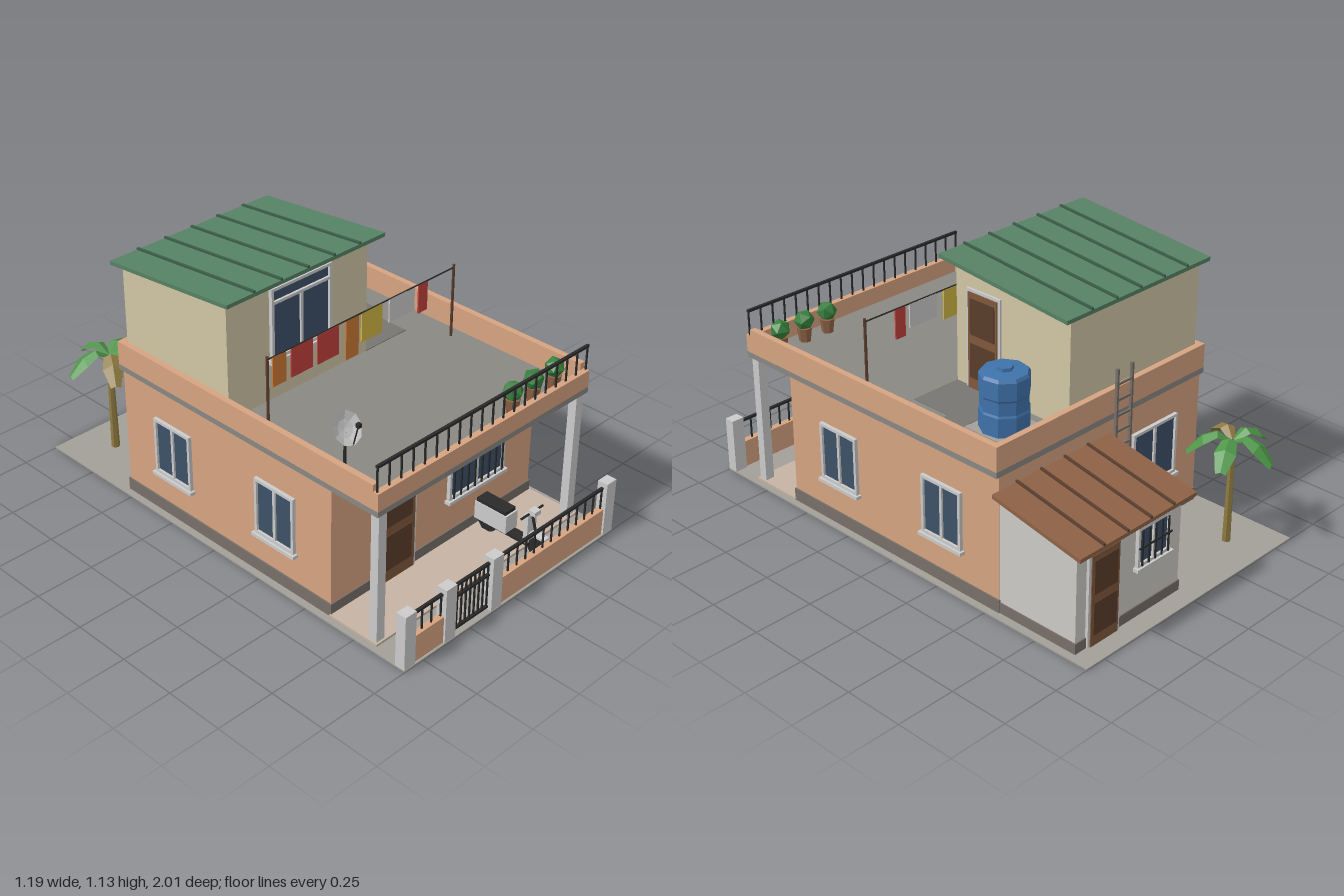
import * as THREE from 'three';

const C = {
  peach: 0xd6a482, cream: 0xd2c7a6, white: 0xd4d4d0, slab: 0x8a8883, ground: 0xa39f98, plinth: 0x776f69,
  porch: 0xc6b4a4, green: 0x568264, darkGreen: 0x3b5e48, rust: 0x8f6347, tank: 0x3f73ab, door: 0x80583c,
  panel: 0x5a3d2a, glass: 0x3d5168, iron: 0x2a2a2a, post: 0x5c4030, leaf: 0x4c9446, bush: 0x37803f,
  dry: 0x8f7a40, red: 0xc2413c, orange: 0xcc7a36, yellow: 0xd2b844, shed: 0xcdcbc6, patch: 0x787672,
};
const mats = {};
const mat = (color) => (mats[color] ??= new THREE.MeshStandardMaterial({ color, flatShading: true, side: THREE.DoubleSide }));

function add(parent, name, geo, color, x = 0, y = 0, z = 0) {
  const m = new THREE.Mesh(geo, mat(color));
  m.name = name;
  m.position.set(x, y, z);
  parent.add(m);
  return m;
}
// Box given by its limits on each axis
const box = (p, name, color, x0, x1, y0, y1, z0, z1) =>
  add(p, name, new THREE.BoxGeometry(x1 - x0, y1 - y0, z1 - z0), color, (x0 + x1) / 2, (y0 + y1) / 2, (z0 + z1) / 2);

function group(parent, name, x = 0, y = 0, z = 0, ry = 0) {
  const g = new THREE.Group();
  g.name = name;
  g.position.set(x, y, z);
  g.rotation.y = ry;
  parent.add(g);
  return g;
}

// Thin bar between two points
function bar(p, name, color, a, b, r = 0.004, sides = 6) {
  const A = new THREE.Vector3(...a), B = new THREE.Vector3(...b), d = B.clone().sub(A);
  const m = add(p, name, new THREE.CylinderGeometry(r, r, d.length(), sides), color);
  m.position.copy(A).add(B).multiplyScalar(0.5);
  m.quaternion.setFromUnitVectors(new THREE.Vector3(0, 1, 0), d.normalize());
  return m;
}

// Window facing local +z, standing on local y = 0
function windowUnit(parent, name, w, h, pos, ry, { transom = 0, bars = 0, sill = true } = {}) {
  const g = group(parent, name, ...pos, ry), f = 0.012, d = 0.014, top = h - transom;
  box(g, 'glass', C.glass, -w / 2 + f, w / 2 - f, f, h - f, -0.004, 0.004);
  for (const s of [-1, 1]) box(g, 'frameSide', C.white, s * (w / 2 - f / 2) - f / 2, s * (w / 2 - f / 2) + f / 2, 0, h, -0.004, d);
  for (const y of transom ? [0, top - f, h - f] : [0, h - f]) box(g, 'frameRail', C.white, -w / 2 + f, w / 2 - f, y, y + f, -0.004, d);
  box(g, 'mullion', C.white, -0.006, 0.006, f, transom ? top - f : h - f, -0.004, d - 0.002);
  if (sill) box(g, 'sill', C.white, -w / 2 - 0.01, w / 2 + 0.01, -0.014, 0, -0.004, 0.024);
  for (let i = 0; i < bars; i++) {
    const x = -w / 2 + (w * (i + 0.5)) / bars;
    box(g, 'bar', C.iron, x - 0.003, x + 0.003, 0.005, top - f, 0.015, 0.021);
  }
  if (bars) box(g, 'crossBar', C.iron, -w / 2, w / 2, top / 2 - 0.003, top / 2 + 0.003, 0.016, 0.022);
}

// Door facing local +z, with an optional glass light above it
function doorUnit(parent, name, w, h, pos, ry, transom = 0) {
  const g = group(parent, name, ...pos, ry), f = 0.012, top = h - transom - f;
  box(g, 'frame', C.white, -w / 2, w / 2, 0, h, -0.006, 0.008);
  box(g, 'leaf', C.door, -w / 2 + f, w / 2 - f, 0, top, 0, 0.012);
  if (transom) box(g, 'transomGlass', C.glass, -w / 2 + f, w / 2 - f, top + f, h - f, 0, 0.011);
  for (const [a, b] of [[0.12, 0.48], [0.57, 0.94]])
    box(g, 'panel', C.panel, -w * 0.36, w * 0.36, top * a, top * b, 0, 0.015);
}

// Walls whose top slopes from the front (z1) to the back (z0)
function slopedWalls(p, name, color, x0, x1, y0, yFront, yBack, z0, z1) {
  const m = box(p, name, color, x0, x1, y0, yFront, z0, z1), a = m.geometry.attributes.position;
  for (let i = 0; i < a.count; i++) if (a.getY(i) > 0 && a.getZ(i) < 0) a.setY(i, a.getY(i) + yBack - yFront);
}

// Sloped metal roof with raised seams
function slopedRoof(p, name, color, seamColor, x0, x1, y1, y0, z0, z1, count) {
  const g = group(p, name), k = (y1 - y0) / (z1 - z0);
  const sheet = (n, c, a, b, t0, t1) => {
    const m = box(g, n, c, a, b, t0, t1, z0, z1), q = m.geometry.attributes.position;
    m.position.y += (y0 + y1) / 2;
    for (let i = 0; i < q.count; i++) q.setY(i, q.getY(i) + k * q.getZ(i));
  };
  sheet('sheet', color, x0, x1, -0.016, 0);
  for (let i = 1; i < count; i++) {
    const x = x0 + ((x1 - x0) * i) / count;
    sheet('seam', seamColor, x - 0.005, x + 0.005, -0.002, 0.008);
  }
}

// Upright railing along x
function railing(p, name, x0, x1, y0, y1, z, step, rails) {
  const g = group(p, name), n = Math.round((x1 - x0) / step);
  for (const y of rails) box(g, 'rail', C.iron, x0, x1, y - 0.005, y + 0.005, z - 0.006, z + 0.006);
  for (let i = 0; i <= n; i++) {
    const x = x0 + 0.004 + ((x1 - x0 - 0.008) * i) / n;
    box(g, 'baluster', C.iron, x - 0.003, x + 0.003, y0, y1, z - 0.003, z + 0.003);
  }
}

function frond(p, color, angle) {
  // stations: distance, half width, height
  const st = [[0.005, 0.012, 0.0], [0.06, 0.03, 0.035], [0.115, 0.042, 0.015], [0.175, 0.02, -0.05]], v = [], idx = [];
  st.forEach(([r, w, y], i) => {
    v.push(r, y - w * 0.45, -w, r, y, 0, r, y - w * 0.45, w);
    if (i) for (const k of [0, 1]) {
      const a = (i - 1) * 3 + k;
      idx.push(a, a + 1, a + 3, a + 1, a + 4, a + 3);
    }
  });
  const geo = new THREE.BufferGeometry();
  geo.setAttribute('position', new THREE.Float32BufferAttribute(v, 3));
  geo.setIndex(idx);
  geo.computeVertexNormals();
  add(p, 'frond', geo, color).rotation.y = angle;
}

export function createModel() {
  const root = new THREE.Group();
  root.name = 'house';
  const h = group(root, 'plot', -0.002);
  box(h, 'groundSlab', C.ground, -0.595, 0.595, 0, 0.006, -1, 1);

  // Ground floor
  box(h, 'groundFloorWalls', C.peach, -0.56, 0.56, 0.004, 0.575, -0.54, 0.6);
  box(h, 'plinth', C.plinth, -0.566, 0.566, 0.004, 0.06, -0.545, 0.605);
  box(h, 'porchFloor', C.porch, -0.57, 0.57, 0.004, 0.016, 0.6, 0.84);
  for (const s of [-1, 1]) {
    box(h, 'porchColumn', C.white, s * 0.542 - 0.02, s * 0.542 + 0.02, 0.01, 0.576, 0.795, 0.832);
    for (const z of [0.315, -0.253]) windowUnit(h, 'sideWindow', 0.205, 0.245, [s * 0.561, 0.19, z], (s * Math.PI) / 2);
  }
  doorUnit(h, 'frontDoor', 0.214, 0.512, [-0.228, 0.016, 0.604], 0, 0.062);
  windowUnit(h, 'frontWindow', 0.32, 0.335, [0.222, 0.212, 0.602], 0, { transom: 0.05, bars: 8 });
  windowUnit(h, 'backWindow', 0.26, 0.26, [-0.287, 0.2, -0.542], Math.PI);

  // Roof terrace
  box(h, 'roofSlab', C.slab, -0.577, 0.577, 0.575, 0.599, -0.545, 0.84);
  for (const s of [-1, 1]) box(h, 'sideParapet', C.peach, s * 0.564 - 0.013, s * 0.564 + 0.013, 0.598, 0.7, -0.545, 0.815);
  box(h, 'frontParapet', C.peach, -0.577, 0.577, 0.598, 0.672, 0.814, 0.84);
  box(h, 'backParapet', C.peach, -0.552, 0.552, 0.598, 0.7, -0.545, -0.519);
  railing(h, 'terraceRailing', -0.572, 0.574, 0.67, 0.78, 0.826, 0.06, [0.776]);
  box(h, 'deckPatch', C.patch, 0.17, 0.4, 0.598, 0.602, -0.225, 0.062);
  box(h, 'deckPatch', C.patch, 0.4, 0.45, 0.598, 0.602, -0.3, -0.12);

  // Upper room
  slopedWalls(h, 'upperRoomWalls', C.cream, -0.55, 0.172, 0.598, 1.1, 1.043, -0.517, 0.06);
  slopedRoof(h, 'upperRoof', C.green, C.darkGreen, -0.593, 0.211, 1.122, 1.057, -0.535, 0.115, 6);
  windowUnit(h, 'upperWindow', 0.31, 0.3, [-0.186, 0.772, 0.062], 0, { transom: 0.055 });
  doorUnit(h, 'upperDoor', 0.175, 0.412, [0.173, 0.6, -0.087], Math.PI / 2);

  // Water tank on its stand
  const tank = group(h, 'waterTank', 0.381, 0, -0.395);
  for (const s of [-1, 1]) box(tank, 'standBlock', C.slab, s * 0.07 - 0.02, s * 0.07 + 0.02, 0.598, 0.636, -0.08, 0.08);
  box(tank, 'standSlab', C.ground, -0.102, 0.102, 0.634, 0.652, -0.102, 0.102);
  const prof = [[0, 0.65], [0.096, 0.65], [0.096, 0.73], [0.092, 0.738], [0.092, 0.79], [0.096, 0.798], [0.096, 0.868], [0.088, 0.88], [0, 0.886]];
  add(tank, 'tankBody', new THREE.LatheGeometry(prof.map((q) => new THREE.Vector2(...q)), 9), C.tank);
  add(tank, 'tankLid', new THREE.CylinderGeometry(0.032, 0.034, 0.018, 6), C.tank, 0, 0.888, 0);

  // Clothesline: left, right, bottom, colour
  const line = group(h, 'clothesline', 0, 0, 0.215);
  for (const x of [-0.498, 0.498]) bar(line, 'linePost', C.post, [x, 0.598, 0], [x, 0.918, 0], 0.006);
  bar(line, 'line', C.iron, [-0.498, 0.905, 0], [0.498, 0.905, 0], 0.003);
  for (const [a, b, y, c] of [[-0.473, -0.407, 0.78, C.orange], [-0.381, -0.272, 0.782, C.red], [-0.247, -0.138, 0.78, C.red],
    [-0.1, -0.033, 0.736, C.orange], [-0.017, 0.094, 0.78, C.yellow], [0.133, 0.273, 0.805, C.white], [0.296, 0.346, 0.78, C.red]])
    box(line, 'laundry', c, a, b, y, 0.904, -0.003, 0.003);

  // Satellite dish
  const dish = group(h, 'satelliteDish', -0.458, 0, 0.57);
  bar(dish, 'dishPost', C.iron, [0, 0.598, -0.005], [0, 0.745, -0.005], 0.006);
  const bowl = [[0, 0], [0.035, 0.005], [0.066, 0.018]].map((q) => new THREE.Vector2(...q));
  add(dish, 'dishBowl', new THREE.LatheGeometry(bowl, 9), C.white, 0, 0.755, -0.008).rotation.x = 1.0;
  bar(dish, 'feedArm', C.iron, [0, 0.705, 0.035], [0, 0.8, 0.06], 0.003);
  box(dish, 'feed', C.iron, -0.008, 0.008, 0.793, 0.809, 0.053, 0.069);

  // Potted plants
  for (const x of [0.235, 0.354, 0.477]) {
    add(h, 'pot', new THREE.CylinderGeometry(0.032, 0.024, 0.06, 7), C.rust, x, 0.629, 0.75);
    add(h, 'bush', new THREE.IcosahedronGeometry(0.043, 0), C.bush, x, 0.69, 0.75).rotation.y = x * 9;
  }

  // Shed behind the house
  slopedWalls(h, 'shedWalls', C.shed, -0.007, 0.557, 0.004, 0.5, 0.428, -0.91, -0.54);
  box(h, 'shedPlinth', C.plinth, -0.012, 0.562, 0.004, 0.05, -0.915, -0.54);
  slopedRoof(h, 'shedRoof', C.rust, C.post, -0.032, 0.595, 0.518, 0.436, -0.958, -0.54, 5);
  doorUnit(h, 'shedDoor', 0.17, 0.39, [0.42, 0.008, -0.914], Math.PI);
  windowUnit(h, 'shedWindow', 0.18, 0.165, [0.155, 0.222, -0.911], Math.PI, { bars: 5 });

  // Ladder to the terrace
  const ladder = group(h, 'ladder', -0.087, 0, -0.556);
  for (const s of [-1, 1]) box(ladder, 'ladderRail', C.plinth, s * 0.041 - 0.005, s * 0.041 + 0.005, 0.006, 0.785, -0.006, 0.006);
  for (let i = 0; i < 11; i++) box(ladder, 'rung', C.plinth, -0.04, 0.04, 0.055 + i * 0.066, 0.064 + i * 0.066, -0.004, 0.004);

  // Palm tree
  const palm = group(h, 'palm', -0.408, 0, -0.83);
  add(palm, 'trunk', new THREE.CylinderGeometry(0.012, 0.018, 0.44, 6), C.dry, 0, 0.224, 0);
  const crown = group(palm, 'crown', 0, 0.452, 0);
  for (let i = 0; i < 5; i++) frond(crown, i === 2 ? C.dry : C.leaf, 1.66 + (i * Math.PI * 2) / 5);

  // Front fence and gate
  for (const x of [-0.567, -0.355, -0.1, 0.567]) box(h, 'fencePillar', C.white, x - 0.028, x + 0.028, 0.004, 0.242, 0.953, 0.998);
  for (const [a, b] of [[-0.54, -0.383], [-0.072, 0.54]]) {
    box(h, 'fenceWall', C.peach, a, b, 0.004, 0.122, 0.962, 0.99);
    railing(h, 'fenceRailing', a, b, 0.12, 0.218, 0.976, 0.05, [0.216]);
  }
  railing(h, 'gate', -0.327, -0.128, 0.014, 0.218, 0.976, 0.025, [0.02, 0.165, 0.216]);

  // Motor scooter parked on the porch
  const s = group(h, 'scooter', 0.243);
  for (const [z, r] of [[0.915, 0.046], [0.665, 0.042]])
    add(s, 'wheel', new THREE.CylinderGeometry(r, r, 0.024, 9), C.iron, 0, r + 0.01, z).rotation.z = Math.PI / 2;
  box(s, 'floorboard', C.iron, -0.024, 0.024, 0.055, 0.068, 0.66, 0.88);
  box(s, 'body', C.white, -0.034, 0.034, 0.066, 0.145, 0.62, 0.778);
  box(s, 'seat', C.iron, -0.03, 0.03, 0.145, 0.16, 0.625, 0.77);
  box(s, 'legShield', C.white, -0.026, 0.026, 0.065, 0.195, 0.856, 0.876);
  box(s, 'frontFender', C.white, -0.016, 0.016, 0.105, 0.114, 0.87, 0.95);
  bar(s, 'fork', C.iron, [0, 0.055, 0.915], [0, 0.2, 0.872], 0.006);
  bar(s, 'handlebar', C.iron, [-0.064, 0.2, 0.872], [0.064, 0.2, 0.872], 0.005);
  box(s, 'headlight', C.white, -0.018, 0.018, 0.198, 0.218, 0.868, 0.9);
  return root;
}
